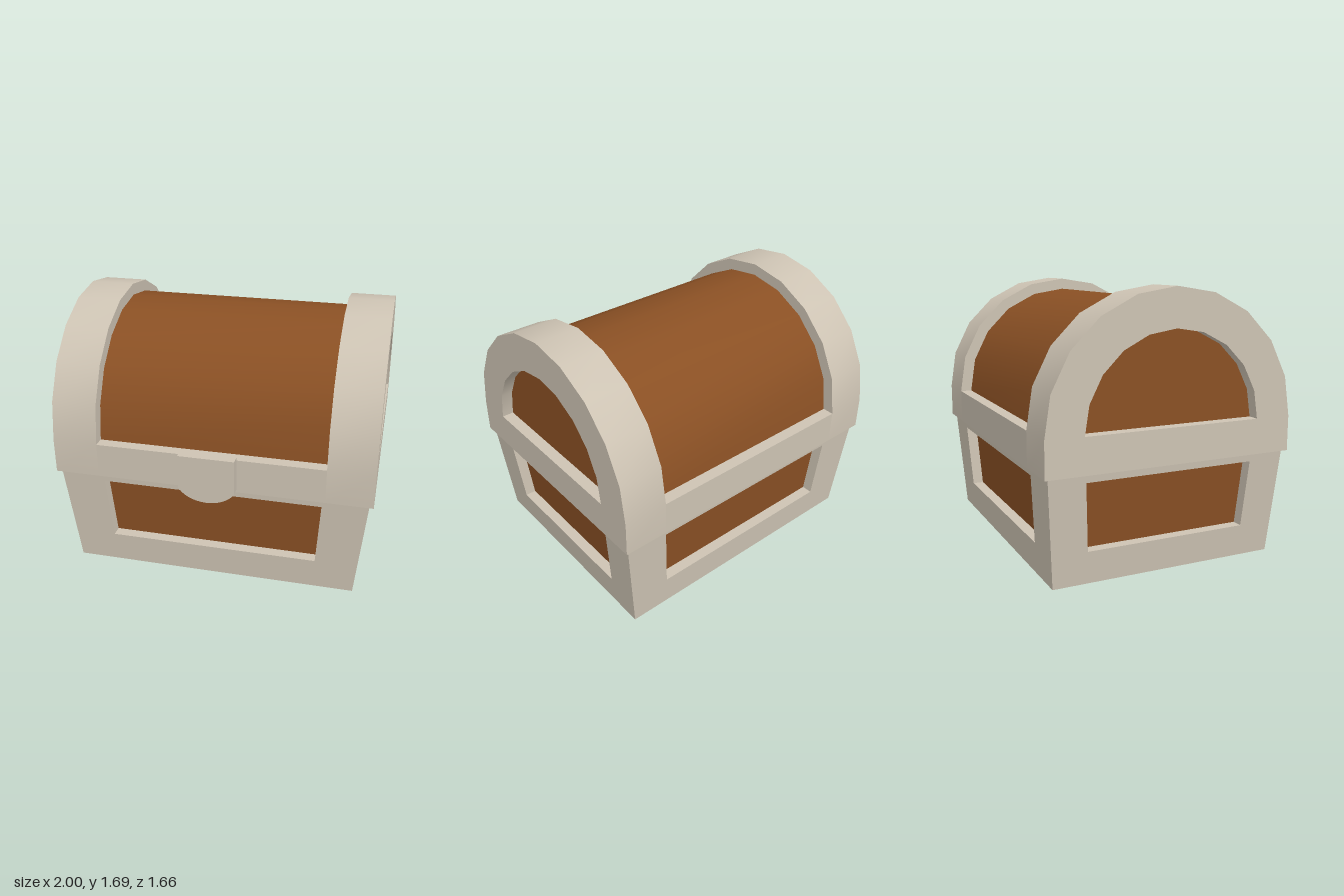
import * as THREE from 'three';
import { toCreasedNormals } from 'three/addons/utils/BufferGeometryUtils.js';

const H = 0.67;        // height of the base
const SPRING = 0.89;   // height where the lid starts to curve
const RECESS = 0.075;  // depth of the panels behind the frame

const stone = new THREE.MeshStandardMaterial({ color: 0xcdc3b3 });
stone.name = 'paleFrame';
const wood = new THREE.MeshStandardMaterial({ color: 0x8a5024 });
wood.name = 'brownWood';
const dark = new THREE.MeshStandardMaterial({ color: 0x352c28 });
dark.name = 'darkUnderside';

function addMesh(parent, name, geometry, material) {
  const mesh = new THREE.Mesh(geometry, material);
  mesh.name = name;
  parent.add(mesh);
  return mesh;
}

// Half circle over the spring line, with straight sides down to bottomY
function archPoints(radius, bottomY) {
  const pts = [];
  if (bottomY < SPRING) pts.push(new THREE.Vector2(radius, bottomY));
  for (let i = 0; i <= 10; i++) {
    const a = (i / 10) * Math.PI;
    pts.push(new THREE.Vector2(Math.cos(a) * radius, SPRING + Math.sin(a) * radius));
  }
  if (bottomY < SPRING) pts.push(new THREE.Vector2(-radius, bottomY));
  return pts;
}

function trapezoid(lowHalf, highHalf, y0, y1) {
  return [[-lowHalf, y0], [lowHalf, y0], [highHalf, y1], [-highHalf, y1]]
    .map(([x, y]) => new THREE.Vector2(x, y));
}

function extrude(outline, hole, depth) {
  const shape = new THREE.Shape(outline);
  if (hole) shape.holes.push(new THREE.Path(hole));
  return new THREE.ExtrudeGeometry(shape, { depth, bevelEnabled: false });
}

// Extrusion running along x, centred on centreX
function extrudeAlongX(outline, hole, width, centreX) {
  const g = extrude(outline, hole, width);
  g.translate(0, 0, -width / 2).rotateY(Math.PI / 2).translate(centreX, 0, 0);
  return toCreasedNormals(g, 0.6);
}

// Framed wall that leans outward towards the top
function leaningWall(outline, hole, lowDist, highDist) {
  const g = extrude(outline, hole, RECESS);
  const p = g.attributes.position;
  for (let i = 0; i < p.count; i++) {
    const t = p.getY(i) / H;
    p.setZ(i, p.getZ(i) - RECESS + lowDist + (highDist - lowDist) * t);
  }
  return toCreasedNormals(g, 0.4);
}

function buildBase() {
  const base = new THREE.Group();
  base.name = 'base';

  // Four frame walls
  const longWall = leaningWall(trapezoid(0.91, 0.975, 0, H), trapezoid(0.665, 0.692, 0.2, 0.62), 0.73, 0.775);
  const endWall = leaningWall(trapezoid(0.73, 0.775, 0, H), trapezoid(0.52, 0.545, 0.2, 0.62), 0.91, 0.975);
  ['frontFrame', 'leftFrame', 'backFrame', 'rightFrame'].forEach((name, i) => {
    addMesh(base, name, i % 2 ? endWall : longWall, stone).rotation.y = i * Math.PI / 2;
  });

  // Frame around the underside
  const under = extrude(trapezoid(0.9, 0.9, -0.72, 0.72), trapezoid(0.65, 0.65, -0.51, 0.51), 0.05);
  under.rotateX(-Math.PI / 2);
  addMesh(base, 'bottomFrame', under, stone);

  // Tapered wooden core seen through the frames
  const core = new THREE.BoxGeometry(2, H - 0.05, 2);
  core.translate(0, (H + 0.05) / 2, 0);
  const p = core.attributes.position;
  for (let i = 0; i < p.count; i++) {
    const t = p.getY(i) / H;
    p.setX(i, p.getX(i) * (0.91 + 0.065 * t - 0.07));
    p.setZ(i, p.getZ(i) * (0.73 + 0.045 * t - 0.07));
  }
  addMesh(base, 'woodCore', toCreasedNormals(core, 0.4), [wood, wood, wood, dark, wood, wood]);
  return base;
}

function buildLid() {
  const lid = new THREE.Group();
  lid.name = 'lid';

  // Arched end bands with a recessed wooden panel in each
  for (const side of [1, -1]) {
    const label = side > 0 ? 'left' : 'right';
    addMesh(lid, label + 'ArchBand',
      extrudeAlongX(archPoints(0.8, H), archPoints(0.565, SPRING), 0.285, side * 0.8575), stone);
    addMesh(lid, label + 'EndPanel',
      extrudeAlongX(archPoints(0.59, SPRING - 0.02), null, 0.04, side * 0.905), wood);
  }

  // Straight rim and wooden barrel between the bands
  const rim = new THREE.BoxGeometry(1.43, SPRING - H, 1.6);
  rim.translate(0, (H + SPRING) / 2, 0);
  addMesh(lid, 'rim', rim, stone);
  addMesh(lid, 'woodBarrel', extrudeAlongX(archPoints(0.725, SPRING), null, 1.44, 0), wood);
  return lid;
}

function buildLatch() {
  // Plate with a rounded lower edge
  const shape = new THREE.Shape();
  shape.moveTo(0.175, 0.91);
  shape.lineTo(-0.175, 0.91);
  shape.lineTo(-0.175, 0.69);
  shape.bezierCurveTo(-0.14, 0.635, -0.07, 0.607, 0, 0.607);
  shape.bezierCurveTo(0.07, 0.607, 0.14, 0.635, 0.175, 0.69);
  const g = new THREE.ExtrudeGeometry(shape, { depth: 0.06, bevelEnabled: false, curveSegments: 6 });
  g.translate(0, 0, 0.77);
  const latch = new THREE.Mesh(toCreasedNormals(g, 0.4), stone);
  latch.name = 'latch';
  return latch;
}

export function createModel() {
  const model = new THREE.Group();
  model.name = 'chest';
  const body = new THREE.Group();
  body.name = 'body';
  body.position.z = -0.03;
  body.add(buildBase(), buildLid());
  model.add(body, buildLatch());
  return model;
}
